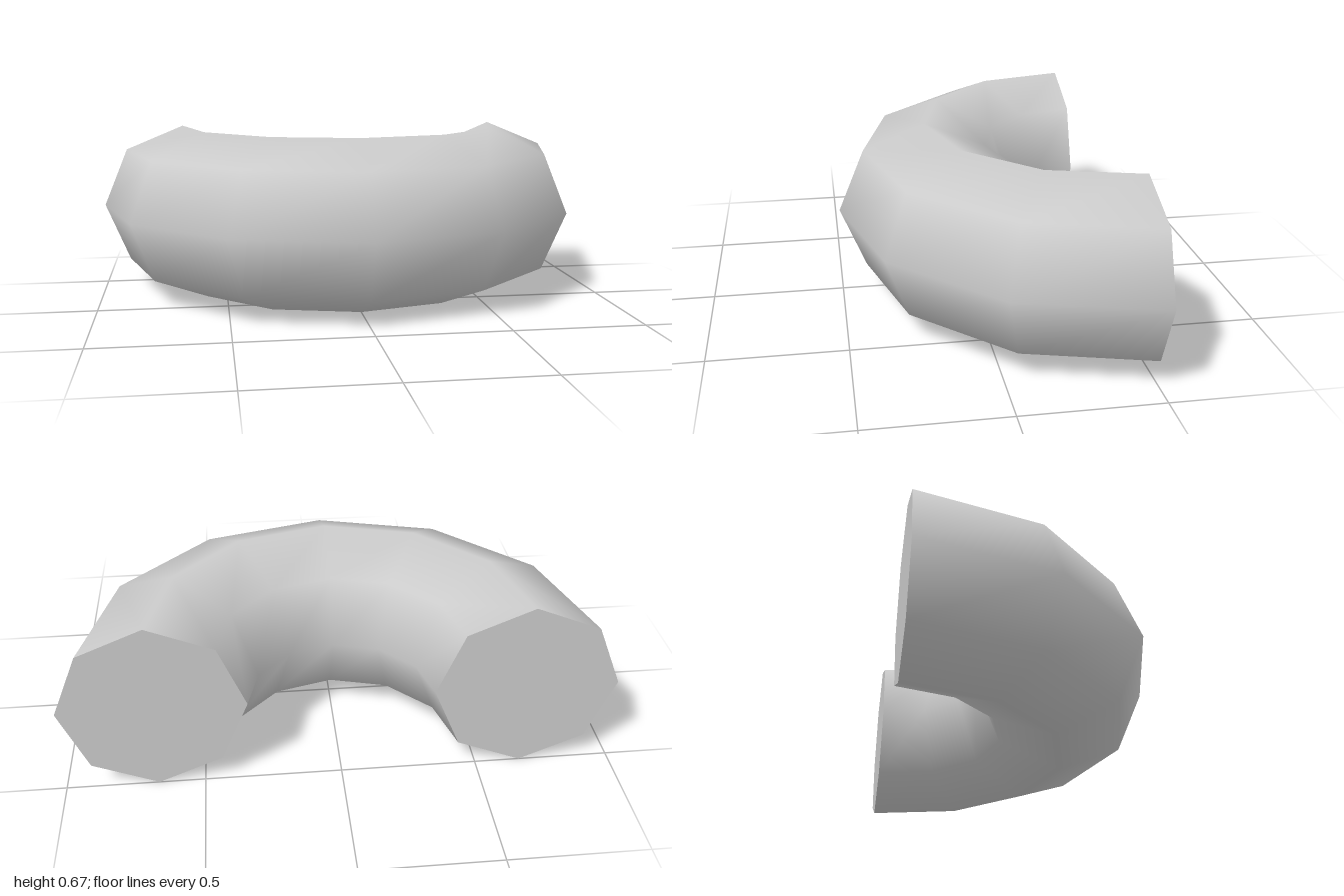
import * as THREE from 'three';

const RING = 2 / 3; // centre line radius of the bend
const TUBE = 1 / 3; // radius of the eight-sided tube
const BACK = -0.5; // z of the two open ends

export function createModel() {
  const group = new THREE.Group();
  group.name = 'halfRing';
  const grey = new THREE.MeshStandardMaterial({ color: 0xcccccc });
  grey.name = 'light grey';

  // half torus lying flat, bulging to the front
  const bend = new THREE.Mesh(
    new THREE.TorusGeometry(RING, TUBE, 8, 6, Math.PI).rotateX(Math.PI / 2),
    grey
  );
  bend.name = 'bentTube';
  bend.position.set(0, TUBE, BACK);
  group.add(bend);

  // flat octagonal caps facing the back
  for (const [side, name] of [[1, 'leftEndCap'], [-1, 'rightEndCap']]) {
    const cap = new THREE.Mesh(new THREE.CircleGeometry(TUBE, 8).rotateY(Math.PI), grey);
    cap.name = name;
    cap.position.set(side * RING, TUBE, BACK);
    group.add(cap);
  }
  return group;
}
